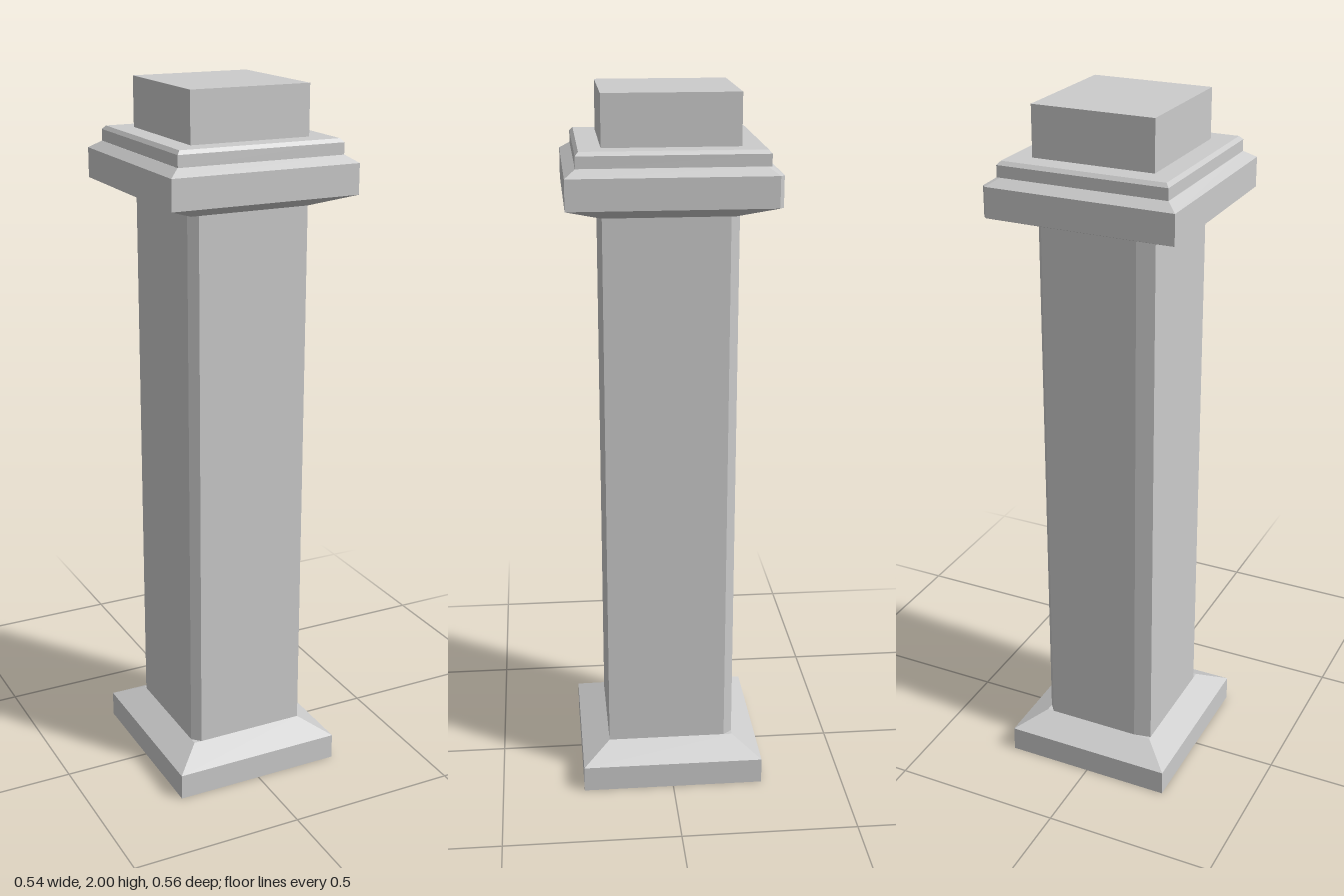
import * as THREE from 'three';

const material = new THREE.MeshStandardMaterial({ color: 0xcccccc, flatShading: true });

// Rectangle outline; cuts gives [along x, along z] for each clipped corner.
function outline(hx, hz, cuts = {}) {
  const { frontLeft: fl, backLeft: bl, backRight: br } = cuts;
  const pts = [[hx, hz]];
  if (bl) pts.push([hx, -hz + bl[1]], [hx - bl[0], -hz]);
  else pts.push([hx, -hz]);
  if (br) pts.push([-hx + br[0], -hz], [-hx, -hz + br[1]]);
  else pts.push([-hx, -hz]);
  if (fl) pts.push([-hx, hz - fl[1]], [-hx + fl[0], hz]);
  else pts.push([-hx, hz]);
  return pts;
}

// Skin a stack of [y, halfX, halfZ] sections and close both ends.
function stack(name, sections, cuts) {
  const rings = sections.map(([y, hx, hz]) =>
    outline(hx, hz, cuts).map(([x, z]) => [x, y, z]));
  const pos = [];
  const tri = (a, b, c) => pos.push(...a, ...b, ...c);
  const n = rings[0].length;
  for (let r = 0; r < rings.length - 1; r++) {
    const lo = rings[r], hi = rings[r + 1];
    for (let i = 0; i < n; i++) {
      const j = (i + 1) % n;
      tri(lo[i], lo[j], hi[j]);
      tri(lo[i], hi[j], hi[i]);
    }
  }
  const bottom = rings[0], top = rings[rings.length - 1];
  for (let i = 1; i < n - 1; i++) {
    tri(bottom[0], bottom[i + 1], bottom[i]);
    tri(top[0], top[i], top[i + 1]);
  }
  const geo = new THREE.BufferGeometry();
  geo.setAttribute('position', new THREE.Float32BufferAttribute(pos, 3));
  geo.computeVertexNormals();
  const mesh = new THREE.Mesh(geo, material);
  mesh.name = name;
  return mesh;
}

export function createModel() {
  const group = new THREE.Group();
  group.name = 'pillar';

  // Plinth with sloped shoulder
  group.add(stack('base', [
    [0, 0.25, 0.262], [0.075, 0.25, 0.262], [0.12, 0.172, 0.183],
  ]));

  // Shaft with three worn corners
  group.add(stack('shaft', [[0.12, 0.172, 0.183], [1.68, 0.172, 0.183]], {
    frontLeft: [0.023, 0.023], backLeft: [0.02, 0.025], backRight: [0.05, 0.01],
  }));

  // Flared capital with a chipped back corner
  group.add(stack('capital', [
    [1.68, 0.172, 0.183], [1.717, 0.27, 0.281], [1.8, 0.27, 0.281], [1.82, 0.24, 0.252],
  ], { backLeft: [0.011, 0.011] }));

  // Thin bevelled slab on the capital
  group.add(stack('capitalSlab', [
    [1.82, 0.239, 0.252], [1.852, 0.239, 0.252], [1.862, 0.23, 0.243],
  ]));

  // Square block on top
  group.add(stack('topBlock', [[1.862, 0.172, 0.183], [2, 0.172, 0.183]]));

  return group;
}
